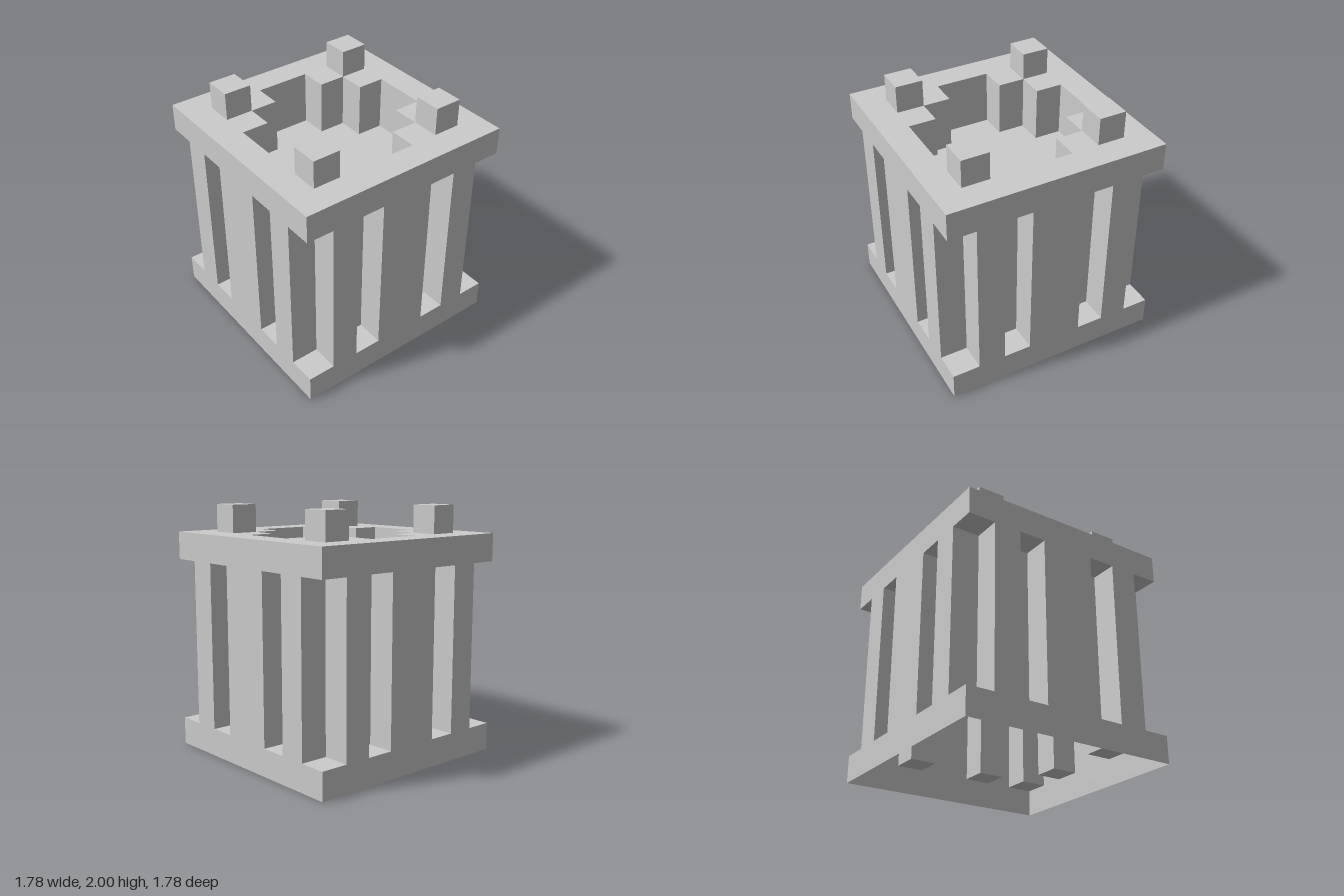
import * as THREE from 'three';
import { mergeGeometries } from 'three/addons/utils/BufferGeometryUtils.js';

const U = 2 / 9; // one module: the block is 8 x 9 x 8 modules

// Repeat a quarter outline [x, z] four times around the y axis
function fourfold(quarter) {
  const out = [];
  let part = quarter;
  for (let i = 0; i < 4; i++) {
    out.push(...part);
    part = part.map(([x, z]) => [z, -x]);
  }
  return out;
}

// Upright flat walls along a closed outline, facing outwards
function walls(outline, y0, y1) {
  const pos = [];
  outline.forEach(([ax, az], i) => {
    const [bx, bz] = outline[(i + 1) % outline.length];
    pos.push(ax, y0, az, bx, y0, bz, bx, y1, bz);
    pos.push(ax, y0, az, bx, y1, bz, ax, y1, az);
  });
  const geo = new THREE.BufferGeometry();
  geo.setAttribute('position', new THREE.Float32BufferAttribute(pos, 3));
  geo.computeVertexNormals();
  return geo;
}

// Horizontal plate from an outline, with an optional hole
function plate(outline, y, hole) {
  const points = (o) => o.map(([x, z]) => new THREE.Vector2(x, -z));
  const shape = new THREE.Shape(points(outline));
  if (hole) shape.holes.push(new THREE.Path(points(hole)));
  return new THREE.ShapeGeometry(shape).rotateX(-Math.PI / 2).translate(0, y, 0);
}

// Unit ledge squares at the grooves and corners, facing up or down
function ledges(y, up) {
  const squares = [];
  const quarter = [[-1.5, 3.5], [1.5, 3.5], [3.5, 3.5]];
  for (const [x, z] of fourfold(quarter)) {
    squares.push(new THREE.PlaneGeometry(1, 1)
      .rotateX(up ? -Math.PI / 2 : Math.PI / 2).translate(x, y, z));
  }
  return mergeGeometries(squares);
}

export function createModel() {
  const group = new THREE.Group();
  const material = new THREE.MeshStandardMaterial({
    color: 0xcccccc, flatShading: true, side: THREE.DoubleSide,
  });
  const add = (name, geo) => {
    const mesh = new THREE.Mesh(geo.scale(U, U, U), material);
    mesh.name = name;
    group.add(mesh);
    return mesh;
  };

  const square = fourfold([[-4, 4]]);
  const grooved = fourfold([[-3, 3], [-3, 4], [-2, 4], [-2, 3], [-1, 3], [-1, 4],
    [1, 4], [1, 3], [2, 3], [2, 4], [3, 4]]);
  const cross = fourfold([[-1, 3], [1, 3], [1, 2], [2, 2], [2, 1]]);

  // Hollow shell, open underneath
  add('baseBand', walls(square, 0, 1));
  add('baseLedges', ledges(1, true));
  add('groovedWalls', walls(grooved, 1, 7));
  add('topLedges', ledges(7, false));
  add('topBand', walls(square, 7, 8));

  // Top plate with a stepped cross-shaped recess
  add('topPlate', plate(square, 8, cross));
  add('recessWalls', walls([...cross].reverse(), 6, 8));
  add('recessFloor', plate(cross, 6));

  // Four corner pegs
  for (const [x, z] of fourfold([[2.5, 2.5]])) {
    add('cornerPeg', new THREE.BoxGeometry(1, 1, 1).translate(x, 8.5, z));
  }
  return group;
}
